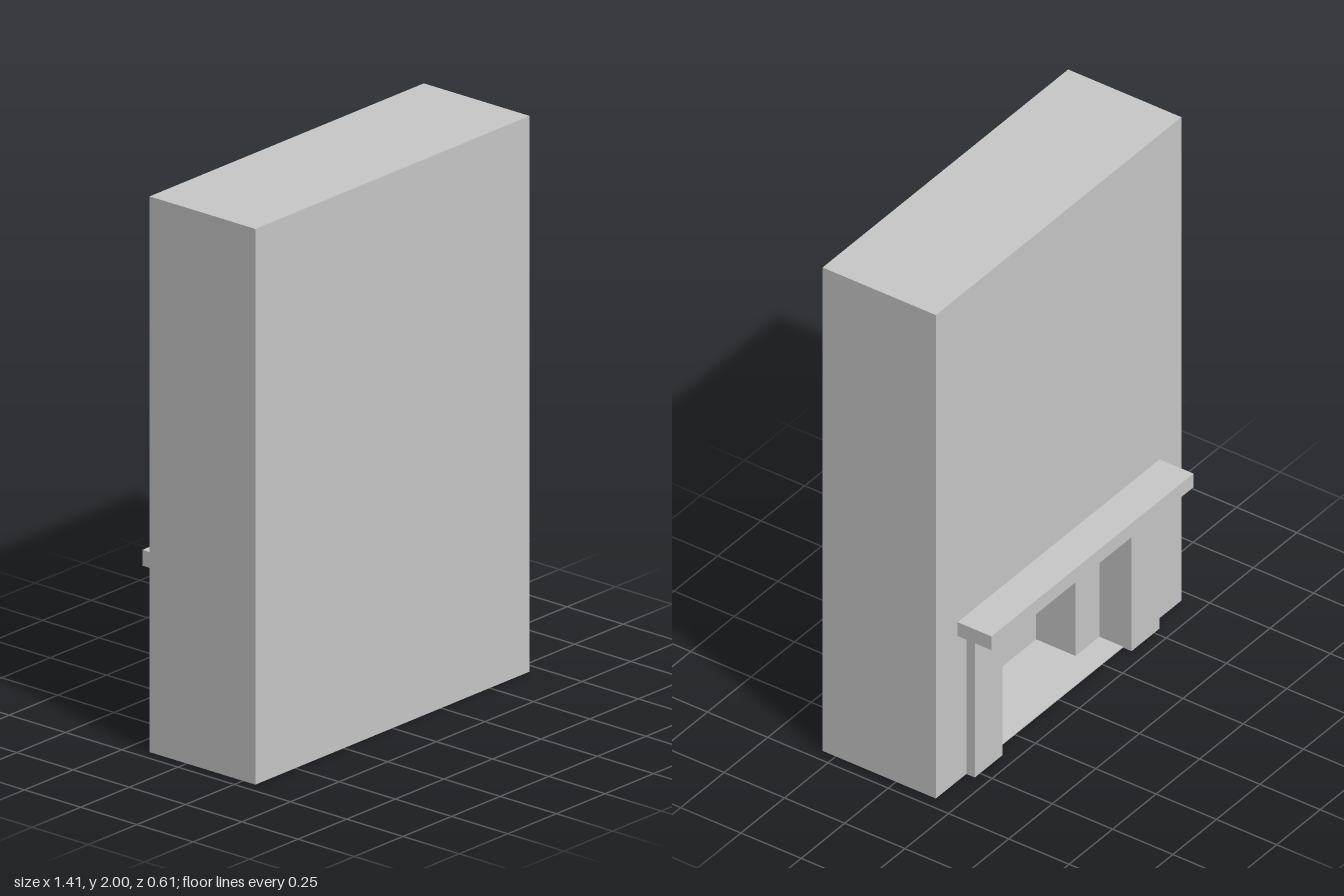
import * as THREE from 'three';

const W = 0.705, FRONT = 0.305, BACK = -0.165;    // chimney breast extents
const OPEN_W = 0.37, OPEN_H = 0.48;               // fireplace opening
const THROAT_W = 0.233, STEP_Z = -0.067, FIRE_Z = 0.097; // narrowed firebox
const BASE = 0.004;                               // thin floor slab

export function createModel() {
  const group = new THREE.Group();
  const plaster = new THREE.MeshStandardMaterial({ color: 0xc8c8c8 });
  plaster.name = 'plasterGrey';

  const add = (name, geometry) => {
    const mesh = new THREE.Mesh(geometry, plaster);
    mesh.name = name;
    group.add(mesh);
  };
  // Box given by its extents on each axis
  const box = (name, x0, x1, y0, y1, z0, z1) => {
    const g = new THREE.BoxGeometry(x1 - x0, y1 - y0, z1 - z0);
    g.translate((x0 + x1) / 2, (y0 + y1) / 2, (z0 + z1) / 2);
    add(name, g);
  };
  // Closed shape, symmetric in x, from the points of its +x half
  const mirrored = (half) => new THREE.Shape([
    ...half.map(([x, y]) => new THREE.Vector2(x, y)),
    ...[...half].reverse().map(([x, y]) => new THREE.Vector2(-x, y)),
  ]);

  // Floor slab and solid upper chimney breast
  box('hearthFloor', -W, W, 0, BASE, BACK, FRONT);
  box('upperChimneyBreast', -W, W, OPEN_H, 2, BACK, FRONT);

  // Lower chimney breast: plan outline with the stepped firebox recess
  const plan = mirrored([
    [THROAT_W, -FIRE_Z], [THROAT_W, -STEP_Z], [OPEN_W, -STEP_Z],
    [OPEN_W, -BACK], [W, -BACK], [W, -FRONT],
  ]);
  const lower = new THREE.ExtrudeGeometry(plan, { depth: OPEN_H - BASE, bevelEnabled: false });
  lower.rotateX(-Math.PI / 2).translate(0, BASE, 0);
  add('lowerChimneyBreast', lower);

  // Surround: two legs and a lintel in one piece
  const arch = mirrored([[OPEN_W, OPEN_H], [OPEN_W, 0], [0.53, 0], [0.53, 0.6]]);
  const surround = new THREE.ExtrudeGeometry(arch, { depth: 0.035, bevelEnabled: false });
  surround.translate(0, 0, BACK - 0.035);
  add('fireplaceSurround', surround);

  // Mantel shelf
  box('mantelShelf', -0.58, 0.58, 0.6, 0.657, -0.305, BACK);

  return group;
}
